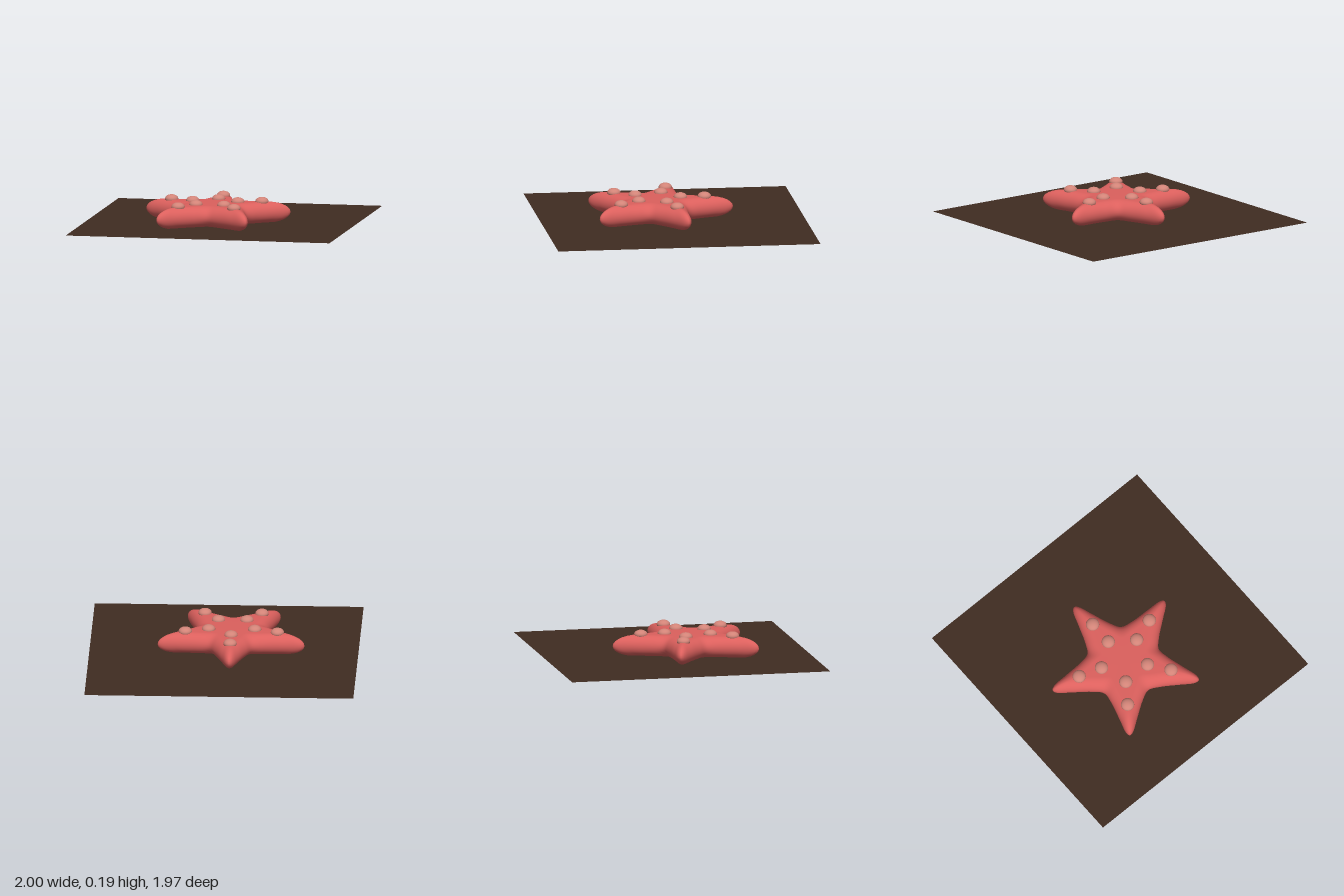
import * as THREE from 'three';

const STEPS = 200, LAYERS = 14, HALF = 0.08;
const CX = -0.055, CZ = 0.11;

// Half of one arm as [distance along arm, half width], valley to tip
const OUTER = [[0.227, 0.165], [0.305, 0.118], [0.45, 0.064], [0.555, 0.024], [0.574, 0]];
const CAP = [[0.138, 0.1], [0.22, 0.063], [0.32, 0.024], [0.38, 0.006], [0.39, 0]];

// Place a point given along an arm and across it
function onArm(arm, along, across) {
  const a = arm * Math.PI * 2 / 5;
  return new THREE.Vector3(
    Math.sin(a) * along + Math.cos(a) * across, 0,
    -Math.cos(a) * along + Math.sin(a) * across);
}

// Closed star outline, t = 0 at the flat cap and t = 1 at the widest edge
function outline(t) {
  const half = CAP.map(([a, w], i) => [
    THREE.MathUtils.lerp(a, OUTER[i][0], t), THREE.MathUtils.lerp(w, OUTER[i][1], t)]);
  const points = [];
  for (let arm = 0; arm < 5; arm++) {
    half.forEach(([a, w]) => points.push(onArm(arm, a, -w)));
    half.slice(1, -1).reverse().forEach(([a, w]) => points.push(onArm(arm, a, w)));
  }
  const curve = new THREE.CatmullRomCurve3(points, true, 'centripetal');
  return Array.from({ length: STEPS }, (_, i) => curve.getPoint(i / STEPS));
}

// Rounded star body: rings from top centre, over the edge, to bottom centre
function starGeometry() {
  const positions = [], index = [];
  const addRing = (ring, y, scale) => ring.forEach(p => positions.push(p.x * scale, y, p.z * scale));
  addRing(outline(0), HALF * 2, 0);
  for (let j = 0; j <= LAYERS; j++) {
    const angle = j / LAYERS * Math.PI;
    addRing(outline(Math.sin(angle)), HALF + HALF * Math.cos(angle), 1);
  }
  addRing(outline(0), 0, 0);
  for (let j = 0; j < LAYERS + 2; j++) {
    for (let i = 0; i < STEPS; i++) {
      const next = (i + 1) % STEPS;
      const a = j * STEPS + i, b = j * STEPS + next, c = a + STEPS, d = b + STEPS;
      if (j > 0) index.push(a, b, c);
      if (j < LAYERS + 1) index.push(b, d, c);
    }
  }
  const geometry = new THREE.BufferGeometry();
  geometry.setAttribute('position', new THREE.Float32BufferAttribute(positions, 3));
  geometry.setIndex(index);
  geometry.computeVertexNormals();
  return geometry;
}

export function createModel() {
  const coral = new THREE.MeshStandardMaterial({ color: 0xdc605d });
  coral.name = 'coral';
  const paleCoral = new THREE.MeshStandardMaterial({ color: 0xd28478 });
  paleCoral.name = 'paleCoral';
  const darkBrown = new THREE.MeshStandardMaterial({ color: 0x402c22, side: THREE.DoubleSide });
  darkBrown.name = 'darkBrown';

  const model = new THREE.Group();
  model.name = 'starfishOnSeabed';

  // Flat ground sheet, just above the underside of the body
  const seabed = new THREE.Mesh(new THREE.PlaneGeometry(2, 1.965).rotateX(-Math.PI / 2), darkBrown);
  seabed.name = 'seabed';
  seabed.position.y = 0.008;
  model.add(seabed);

  const starfish = new THREE.Group();
  starfish.name = 'starfish';
  starfish.position.set(CX, 0, CZ);
  model.add(starfish);

  const body = new THREE.Mesh(starGeometry(), coral);
  body.name = 'body';
  starfish.add(body);

  // Two flattened bumps on each arm
  const bumpGeometry = new THREE.SphereGeometry(0.05, 24, 16).scale(1, 0.66, 1);
  for (let arm = 0; arm < 5; arm++) {
    for (const along of [0.18, 0.36]) {
      const bump = new THREE.Mesh(bumpGeometry, paleCoral);
      bump.name = 'bump';
      bump.position.copy(onArm(arm, along, 0)).setY(0.162);
      starfish.add(bump);
    }
  }
  return model;
}
